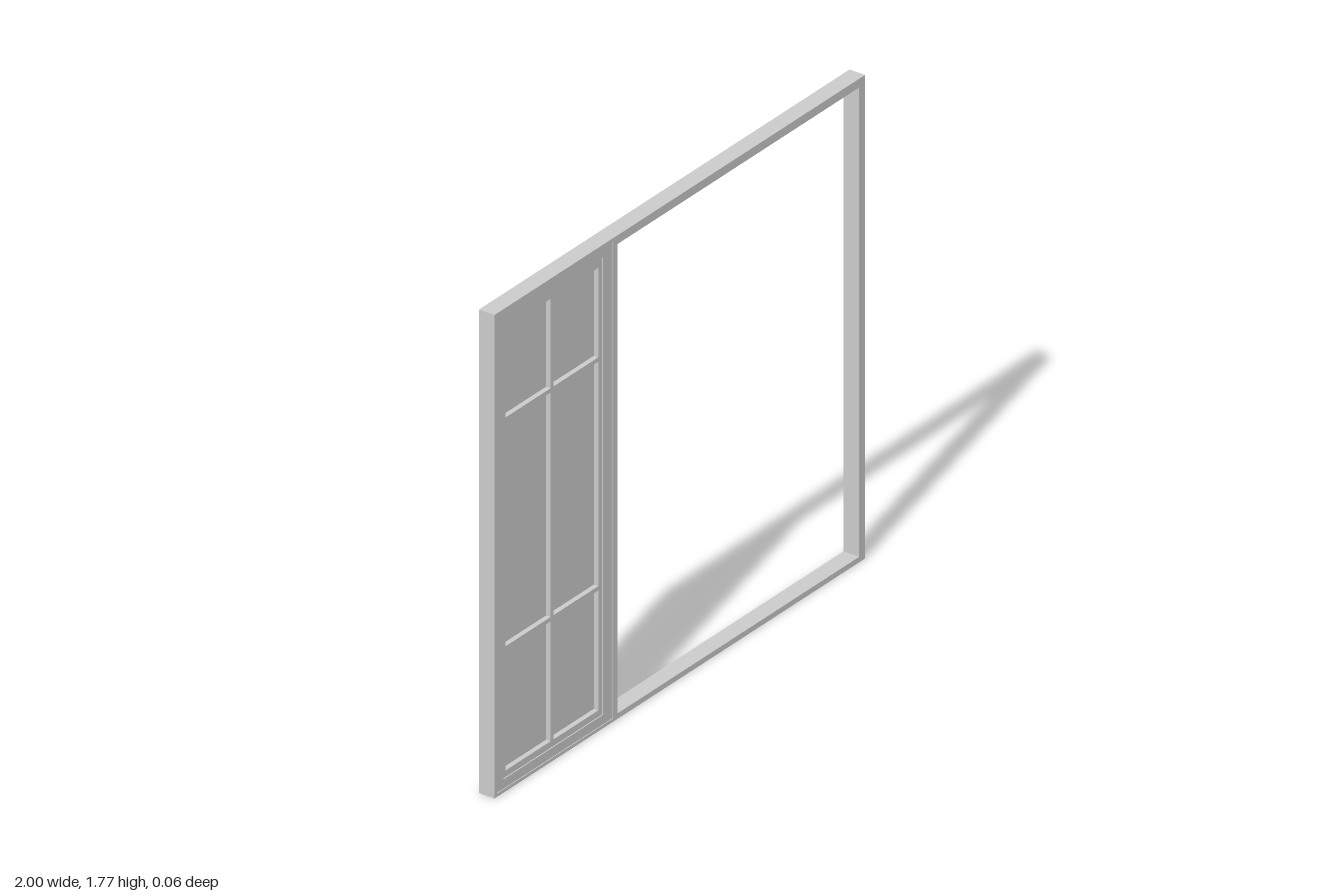
import * as THREE from 'three';

const material = new THREE.MeshStandardMaterial({ color: 0xcccccc, flatShading: true });

// Rectangles are [x0, y0, x1, y1]
function trace(path, [x0, y0, x1, y1]) {
  path.moveTo(x0, y0);
  path.lineTo(x1, y0);
  path.lineTo(x1, y1);
  path.lineTo(x0, y1);
  path.closePath();
  return path;
}

// Flat slab with rectangular openings, centred on z = 0
function slab(name, rect, holes, depth) {
  const shape = trace(new THREE.Shape(), rect);
  for (const hole of holes) shape.holes.push(trace(new THREE.Path(), hole));
  const geometry = new THREE.ExtrudeGeometry(shape, { depth, bevelEnabled: false });
  geometry.translate(0, 0, -depth / 2);
  const mesh = new THREE.Mesh(geometry, material);
  mesh.name = name;
  return mesh;
}

export function createModel() {
  const model = new THREE.Group();
  model.name = 'slidingDoor';

  // Outer frame: a fixed door bay beside a wide clear opening
  const bay = [-0.985, 0.012, -0.36, 1.755];
  const opening = [-0.337, 0.02, 0.968, 1.735];
  model.add(slab('outerFrame', [-1, 0, 1, 1.767], [bay, opening], 0.062));

  // Door stiles and rails, stepped back a little inside the bay
  const sashRect = [-0.947, 0.046, -0.41, 1.718];
  model.add(slab('doorFrame', bay, [sashRect], 0.056));

  // Glazing bead and glazing bars, leaving a 2 x 3 grid of lights
  const columns = [[-0.93, -0.687], [-0.671, -0.43]];
  const rows = [[0.07, 0.508], [0.524, 1.344], [1.36, 1.687]];
  const lights = columns.flatMap(([x0, x1]) => rows.map(([y0, y1]) => [x0, y0, x1, y1]));
  model.add(slab('sashAndGlazingBars', sashRect, lights, 0.048));

  // Recessed panes
  const panes = new THREE.Group();
  panes.name = 'panes';
  for (const light of lights) panes.add(slab('pane', light, [], 0.012));
  model.add(panes);

  return model;
}
